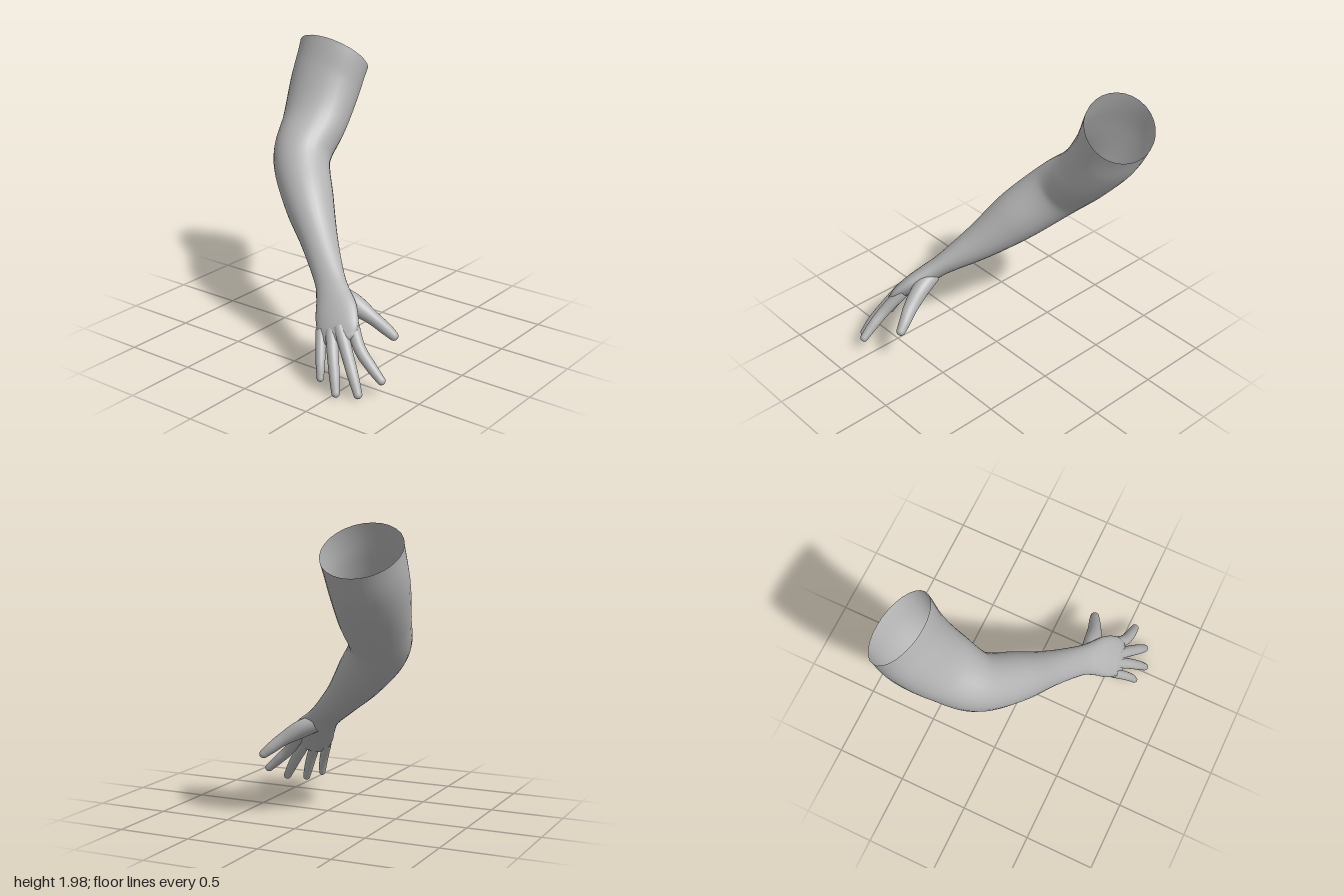
import * as THREE from 'three';

const SIDES = 28;
// Direction from the palm side towards the back of the hand
const BACK = new THREE.Vector3(-0.73, 0.68, 0).normalize();

// Smooth skin through stations [x, y, z, halfWidth, halfThickness], rounded off at the far end
function limb(stations, steps, square) {
  const path = new THREE.CatmullRomCurve3(stations.map(s => new THREE.Vector3(s[0], s[1], s[2])), false, 'catmullrom', 0.5);
  const size = new THREE.CatmullRomCurve3(stations.map(s => new THREE.Vector3(s[3], s[4], 0)), false, 'catmullrom', 0.5);
  const pos = [], index = [];
  let rings = 0;

  const ring = (c, t, a, b) => {
    const n = BACK.clone();
    if (square) n.addScaledVector(t, -n.dot(t)).normalize();
    const w = n.clone().cross(t).normalize();
    for (let j = 0; j < SIDES; j++) {
      const th = j / SIDES * Math.PI * 2;
      const p = c.clone().addScaledVector(n, b * Math.cos(th)).addScaledVector(w, a * Math.sin(th));
      pos.push(p.x, p.y, p.z);
    }
    rings++;
  };

  for (let i = 0; i <= steps; i++) {
    const u = i / steps, s = size.getPoint(u);
    ring(path.getPoint(u), path.getTangent(u), s.x, s.y);
  }
  // Rounded end
  const end = path.getPoint(1), dir = path.getTangent(1), last = size.getPoint(1);
  for (let k = 1; k <= 5; k++) {
    const q = k / 5 * Math.PI / 2, r = Math.max(Math.cos(q), 0.02);
    ring(end.clone().addScaledVector(dir, last.y * Math.sin(q)), dir, last.x * r, last.y * r);
  }
  for (let i = 0; i < rings - 1; i++) {
    for (let j = 0; j < SIDES; j++) {
      const k = (j + 1) % SIDES, a = i * SIDES + j, b = i * SIDES + k;
      index.push(a, a + SIDES, b, b, a + SIDES, b + SIDES);
    }
  }
  const g = new THREE.BufferGeometry();
  g.setAttribute('position', new THREE.Float32BufferAttribute(pos, 3));
  g.setIndex(index);
  g.computeVertexNormals();
  return g;
}

export function createModel() {
  const model = new THREE.Group();
  model.name = 'arm';
  const skin = new THREE.MeshStandardMaterial({ color: 0xb4b4b4, side: THREE.DoubleSide });
  skin.name = 'plain grey skin';

  const add = (name, geometry) => {
    const m = new THREE.Mesh(geometry, skin);
    m.name = name;
    model.add(m);
  };

  // Open upper arm, elbow, forearm, wrist and palm in one skin
  add('armAndPalm', limb([
    [0.595, 1.83, -0.51, 0.275, 0.235],
    [0.50, 1.63, -0.515, 0.265, 0.22],
    [0.345, 1.40, -0.487, 0.24, 0.193],
    [0.135, 1.19, -0.435, 0.2, 0.195],
    [-0.05, 0.97, -0.23, 0.17, 0.178],
    [-0.2, 0.77, -0.02, 0.125, 0.125],
    [-0.345, 0.605, 0.175, 0.105, 0.075],
    [-0.41, 0.53, 0.255, 0.118, 0.068],
    [-0.475, 0.455, 0.33, 0.145, 0.062],
    [-0.535, 0.38, 0.39, 0.145, 0.052],
    [-0.57, 0.325, 0.425, 0.122, 0.038],
  ], 80, false));

  // Fingers: knuckle, two joints and tip, with a radius for each finger
  const fingers = {
    indexFinger: [0.036, [-0.475, 0.425, 0.45], [-0.538, 0.285, 0.565], [-0.555, 0.195, 0.665], [-0.557, 0.12, 0.75]],
    middleFinger: [0.036, [-0.54, 0.39, 0.41], [-0.605, 0.25, 0.52], [-0.65, 0.14, 0.6], [-0.68, 0.045, 0.66]],
    ringFinger: [0.034, [-0.56, 0.36, 0.36], [-0.645, 0.24, 0.435], [-0.7, 0.13, 0.49], [-0.74, 0.038, 0.53]],
    littleFinger: [0.029, [-0.575, 0.345, 0.285], [-0.65, 0.23, 0.34], [-0.69, 0.155, 0.37], [-0.715, 0.09, 0.388]],
  };
  for (const [name, [r, ...joints]] of Object.entries(fingers)) {
    const scale = [1.25, 1.1, 1, 0.78];
    add(name, limb(joints.map((p, i) => [...p, r * scale[i], r * scale[i]]), 24, true));
  }

  // Thumb with its broad base in the palm
  add('thumb', limb([
    [-0.375, 0.53, 0.27, 0.06, 0.06],
    [-0.355, 0.475, 0.39, 0.066, 0.06],
    [-0.32, 0.4, 0.51, 0.046, 0.05],
    [-0.288, 0.335, 0.59, 0.04, 0.04],
    [-0.27, 0.292, 0.64, 0.032, 0.032],
  ], 30, true));

  return model;
}
